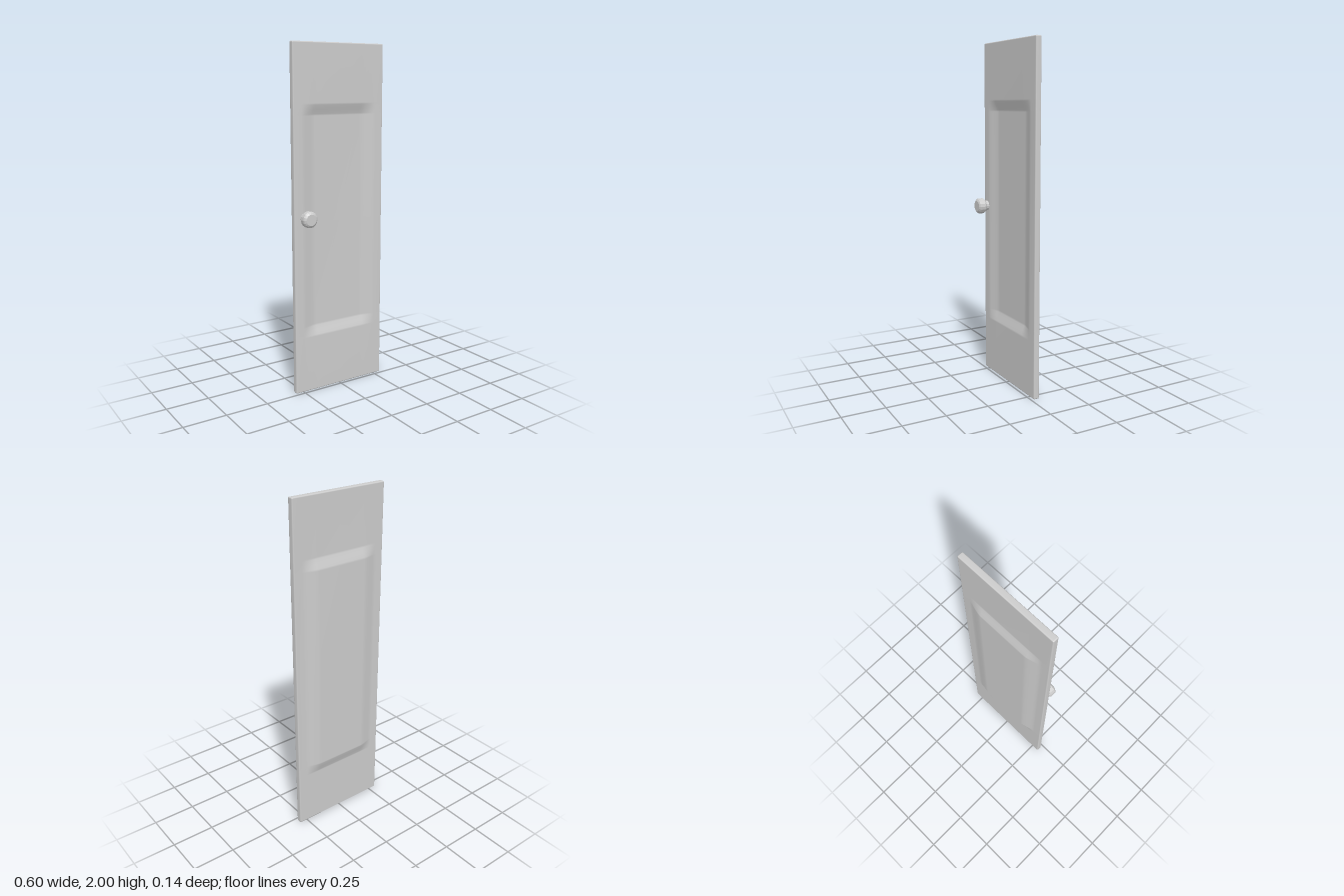
import * as THREE from 'three';
import { mergeVertices } from 'three/addons/utils/BufferGeometryUtils.js';

const W = 0.6, H = 2, BACK = -0.05, FRONT = -0.015;
const R = 0.007;       // rounding of the outer edges
const DEPTH = 0.023;   // how far the panel is pressed back

// Rise of the pressed panel, from the outer rim inwards: [distance from centre, amount]
const rampX = [[0.25, 0], [0.238, 0.07], [0.225, 0.2], [0.203, 0.5], [0.18, 0.78], [0.165, 0.93], [0.15, 1]];
const rampY = [[0.672, 0], [0.662, 0.1], [0.637, 0.5], [0.612, 0.9], [0.602, 1]];

function amount(ramp, d) {
  if (d >= ramp[0][0]) return 0;
  for (let i = 1; i < ramp.length; i++) {
    const [d0, a0] = ramp[i - 1], [d1, a1] = ramp[i];
    if (d >= d1) return a0 + (a1 - a0) * (d0 - d) / (d0 - d1);
  }
  return 1;
}

// Symmetric grid lines: rounded edge, ramp and centre
function gridLines(half, ramp) {
  const edge = [half, half - R * 0.3, half - R * 0.6, half - R];
  const pos = [...edge, ...ramp.map(p => p[0])];
  return [...pos.map(v => -v), 0, ...pos.reverse()];
}

function doorGeometry() {
  const t = (FRONT - BACK) / 2, mid = (FRONT + BACK) / 2;
  const xs = gridLines(W / 2, rampX);
  const ys = gridLines(H / 2, rampY);
  const zs = [-t, -t + R * 0.4, -t + R, t - R, t - R * 0.4, t];
  const nx = xs.length - 1, ny = ys.length - 1, nz = zs.length - 1;
  let geo = new THREE.BoxGeometry(nx, ny, nz, nx, ny, nz);
  geo.deleteAttribute('normal');
  geo.deleteAttribute('uv');
  geo = mergeVertices(geo);
  const pos = geo.attributes.position;
  const p = new THREE.Vector3(), core = new THREE.Vector3();
  const lim = new THREE.Vector3(W / 2 - R, H / 2 - R, t - R);
  for (let i = 0; i < pos.count; i++) {
    p.set(
      xs[Math.round(pos.getX(i) + nx / 2)],
      ys[Math.round(pos.getY(i) + ny / 2)],
      zs[Math.round(pos.getZ(i) + nz / 2)]);
    // round the edges, then press the panel backwards
    core.copy(p).clamp(lim.clone().negate(), lim);
    p.sub(core).setLength(R).add(core);
    const press = DEPTH * amount(rampX, Math.abs(p.x)) * amount(rampY, Math.abs(p.y));
    pos.setXYZ(i, p.x, p.y + H / 2, p.z + mid - press);
  }
  geo.computeVertexNormals();
  return geo;
}

function knobGeometry() {
  const profile = [[0, 0], [0.03, 0], [0.03, 0.018], [0.036, 0.019], [0.046, 0.031],
    [0.046, 0.057], [0.041, 0.064], [0.032, 0.07], [0, 0.07]];
  const geo = new THREE.LatheGeometry(profile.map(([r, z]) => new THREE.Vector2(r, z)), 16);
  geo.rotateX(Math.PI / 2);
  return geo;
}

export function createModel() {
  const group = new THREE.Group();
  group.name = 'cabinetDoor';

  // Door leaf with its pressed panel
  const door = new THREE.Mesh(doorGeometry(), new THREE.MeshStandardMaterial({ color: 0xcccccc }));
  door.name = 'doorPanel';
  group.add(door);

  // Round knob
  const knob = new THREE.Mesh(knobGeometry(),
    new THREE.MeshStandardMaterial({ color: 0xcccccc, flatShading: true }));
  knob.name = 'knob';
  knob.position.set(-0.24, 1.04, 0);
  group.add(knob);

  return group;
}
